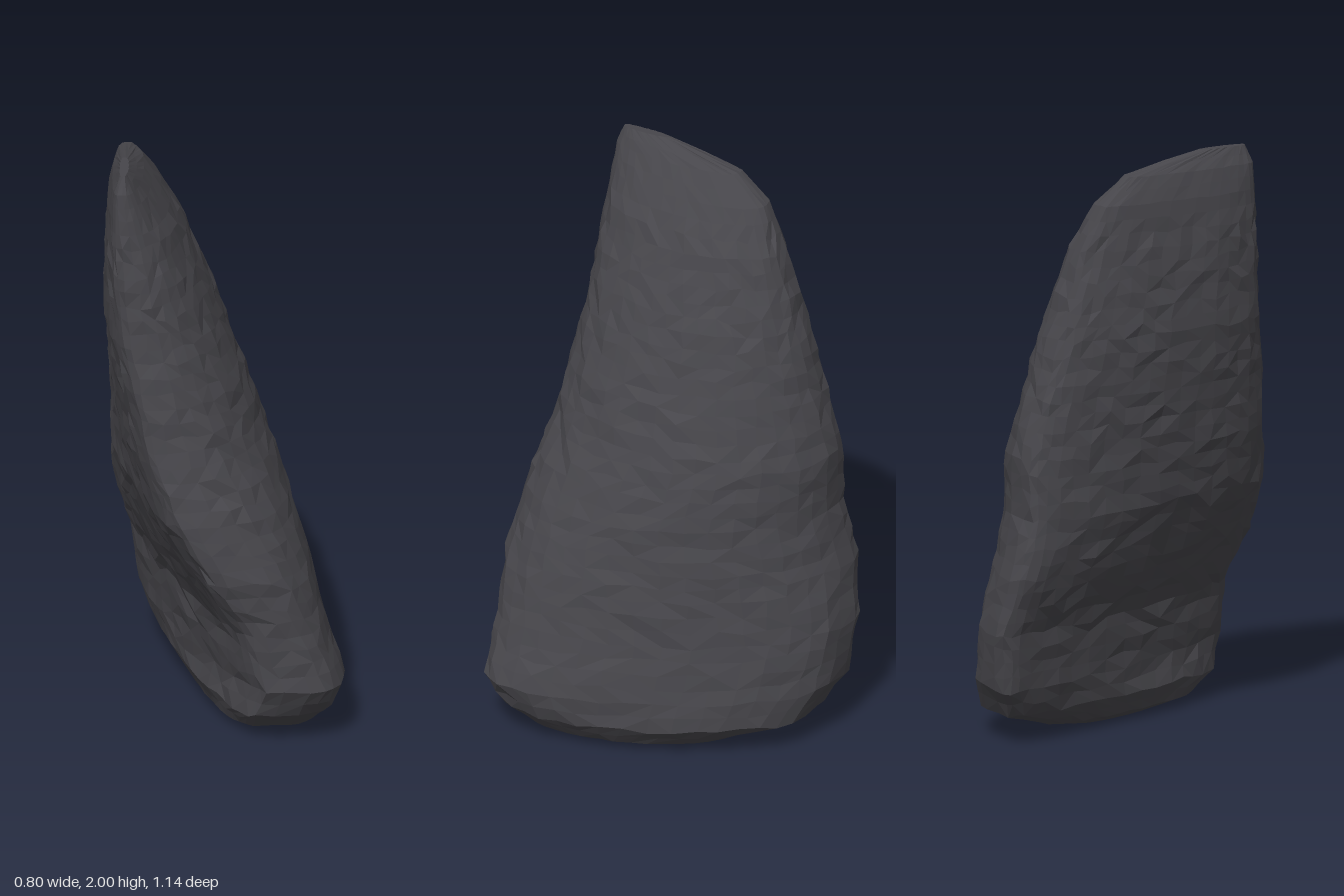
import * as THREE from 'three';

// Cross-sections from base to tip:
// height, front edge x,z, back edge x,z, bulge towards +x, bulge towards -x,
// and how pointed the +x side is (low is boxy)
const SECTIONS = [
  [0.00, 0.17, 0.32, 0.03, -0.13, 0.14, 0.11, 0.70],
  [0.03, 0.15, 0.42, -0.02, -0.29, 0.23, 0.14, 0.70],
  [0.10, 0.16, 0.51, -0.13, -0.49, 0.32, 0.14, 0.70],
  [0.20, 0.19, 0.56, -0.20, -0.55, 0.335, 0.125, 0.68],
  [0.40, 0.13, 0.55, -0.24, -0.57, 0.335, 0.105, 0.80],
  [0.60, 0.01, 0.57, -0.29, -0.54, 0.39, 0.115, 0.85],
  [0.80, -0.10, 0.55, -0.28, -0.49, 0.40, 0.13, 0.90],
  [1.00, -0.18, 0.50, -0.27, -0.49, 0.37, 0.125, 0.95],
  [1.40, -0.26, 0.43, -0.26, -0.38, 0.26, 0.135, 0.95],
  [1.70, -0.305, 0.40, -0.27, -0.28, 0.17, 0.105, 0.95],
  [1.85, -0.33, 0.385, -0.30, -0.21, 0.11, 0.07, 0.90],
  [1.94, -0.345, 0.375, -0.315, -0.10, 0.065, 0.04, 0.80],
  [2.00, -0.34, 0.35, -0.33, 0.18, 0.015, 0.015, 0.80],
];
const SIDES = 40;

// Small seeded generator for the chipped surface
function seeded(seed) {
  return () => {
    seed = (seed * 16807) % 2147483647;
    return seed / 2147483647 - 0.5;
  };
}

function createStoneGeometry() {
  const rand = seeded(71);
  const sectionAt = new THREE.LinearInterpolant(
    SECTIONS.map((s) => s[0]), SECTIONS.flatMap((s) => s.slice(1)), 7);

  // Ring heights: fine steps between neighbouring sections
  const heights = [0];
  for (let k = 1; k < SECTIONS.length; k++) {
    const y0 = SECTIONS[k - 1][0], y1 = SECTIONS[k][0];
    const steps = Math.ceil((y1 - y0) / 0.055);
    for (let n = 1; n <= steps; n++) heights.push(y0 + ((y1 - y0) * n) / steps);
  }

  // Each ring is rounded towards +x and flatter, with tighter corners, towards -x
  const points = [], faces = [];
  heights.forEach((y, j) => {
    const [xf, zf, xb, zb, bulgeR, bulgeL, power] = sectionAt.evaluate(y);
    const inner = j > 0 && j < heights.length - 1;
    const rough = y > 0.08 && y < 1.8 ? 1 : 0.3;
    for (let i = 0; i < SIDES; i++) {
      const t = (i / SIDES) * Math.PI * 2;
      const s = (1 - Math.cos(t)) / 2;
      const side = Math.sin(t);
      const width = side > 0
        ? bulgeR * Math.pow(side, power)
        : -bulgeL * Math.pow(-side, 0.5);
      points.push(
        THREE.MathUtils.lerp(xf, xb, s) + width + rand() * 0.011 * rough,
        y + (inner ? rand() * 0.018 * rough : 0),
        THREE.MathUtils.lerp(zf, zb, s) + rand() * 0.013 * rough);
    }
  });

  // Side faces, with the diagonals alternating
  for (let j = 0; j < heights.length - 1; j++) {
    for (let i = 0; i < SIDES; i++) {
      const a = j * SIDES + i, b = j * SIDES + ((i + 1) % SIDES);
      const c = a + SIDES, d = b + SIDES;
      if (rand() > 0) faces.push(a, b, d, a, d, c);
      else faces.push(a, b, c, b, d, c);
    }
  }

  // Caps under the base and over the tip
  const last = (heights.length - 1) * SIDES;
  const base = points.length / 3, tip = base + 1;
  points.push(0.11, 0, 0.1, -0.335, 2, 0.265);
  for (let i = 0; i < SIDES; i++) {
    const n = (i + 1) % SIDES;
    faces.push(base, n, i, tip, last + i, last + n);
  }

  const geometry = new THREE.BufferGeometry();
  geometry.setAttribute('position', new THREE.Float32BufferAttribute(points, 3));
  geometry.setIndex(faces);
  geometry.computeVertexNormals();
  return geometry;
}

export function createModel() {
  const group = new THREE.Group();
  group.name = 'leaningStone';
  const stone = new THREE.MeshStandardMaterial({ color: 0x47464b, flatShading: true });
  stone.name = 'dark grey stone';
  const slab = new THREE.Mesh(createStoneGeometry(), stone);
  slab.name = 'stoneSlab';
  group.add(slab);
  return group;
}
